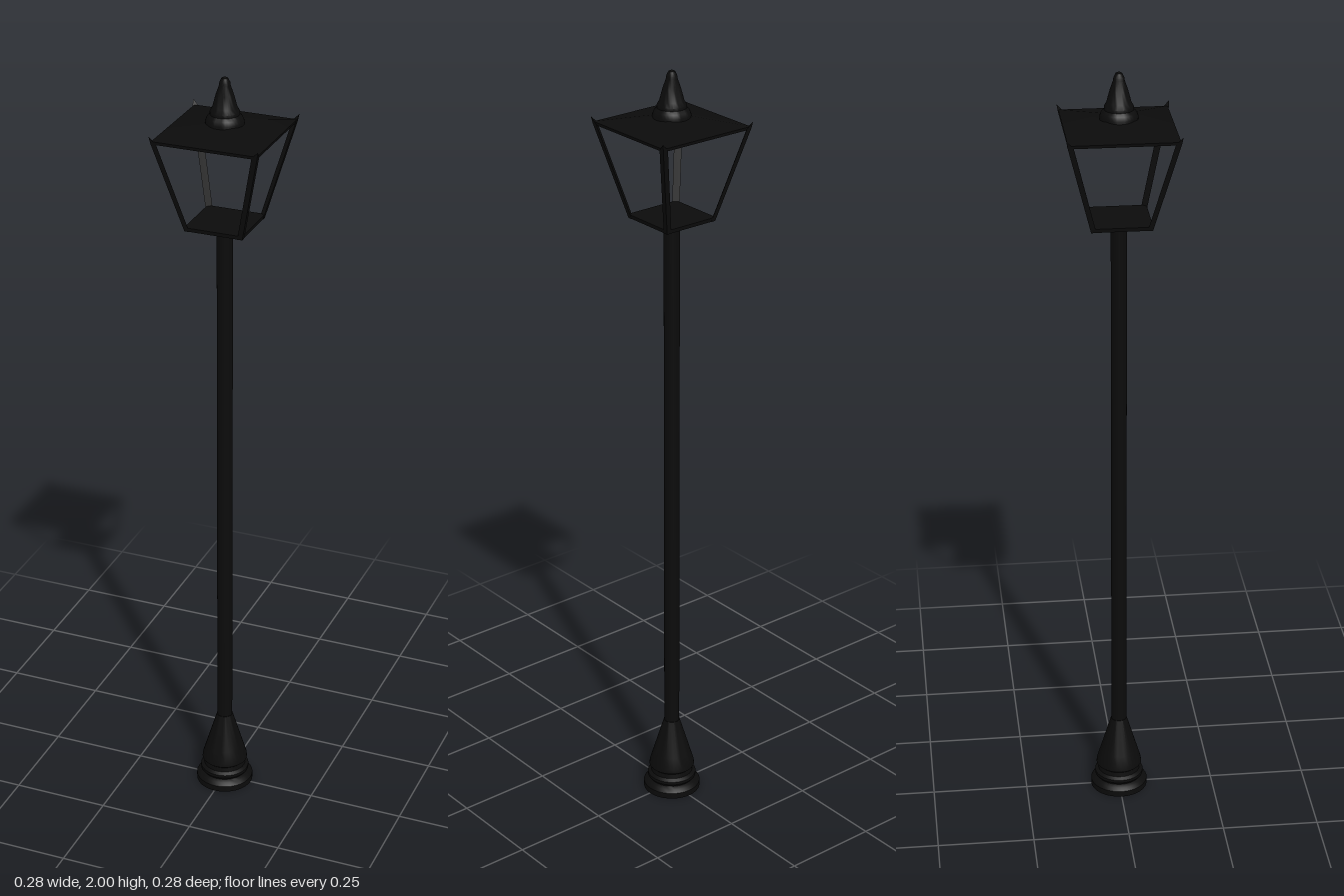
import * as THREE from 'three';
import { toCreasedNormals } from 'three/addons/utils/BufferGeometryUtils.js';

const iron = new THREE.MeshStandardMaterial({ color: 0x0b0b0b });

export function createModel() {
  const lamp = new THREE.Group();
  lamp.name = 'streetLamp';

  function add(name, geometry, y = 0) {
    const mesh = new THREE.Mesh(geometry, iron);
    mesh.name = name;
    mesh.position.y = y;
    lamp.add(mesh);
    return mesh;
  }

  // Turned part from [radius, height] pairs, bottom to top
  function turned(points) {
    const profile = points.map(([r, y]) => new THREE.Vector2(r, y));
    return toCreasedNormals(new THREE.LatheGeometry(profile, 32), 0.6);
  }

  // Square frustum with its sides facing the axes, standing on y = 0
  function frustum(topHalf, bottomHalf, height) {
    const g = new THREE.CylinderGeometry(topHalf * Math.SQRT2, bottomHalf * Math.SQRT2, height, 4);
    g.rotateY(Math.PI / 4);
    g.translate(0, height / 2, 0);
    return toCreasedNormals(g, 0.3);
  }

  // Moulded foot tapering into the pole
  add('base', turned([
    [0, 0], [0.075, 0], [0.075, 0.016], [0.068, 0.024], [0.058, 0.028],
    [0.064, 0.036], [0.064, 0.044], [0.055, 0.05], [0.053, 0.062],
    [0.06, 0.068], [0.059, 0.078], [0.05, 0.108], [0.021, 0.205], [0, 0.205],
  ]));

  add('pole', new THREE.CylinderGeometry(0.02, 0.02, 1.44, 24), 0.91);

  // Lantern floor and shallow roof
  add('lanternFloor', frustum(0.076, 0.074, 0.01), 1.622);
  add('roofRim', frustum(0.134, 0.132, 0.008), 1.857);
  add('roof', frustum(0.03, 0.134, 0.022), 1.865);

  // Slanted three-sided corner bars, ending in a spike above the roof
  const rings = [[0.075, 1.622, 0.013], [0.135, 1.86, 0.014], [0.138, 1.877, 0.001]];
  const positions = [];
  const index = [];
  for (const [c, y, w] of rings) {
    positions.push(c, y, c, c - w, y, c, c, y, c - w);
  }
  for (let level = 0; level < 2; level++) {
    for (let i = 0; i < 3; i++) {
      const a = level * 3 + i;
      const b = level * 3 + (i + 1) % 3;
      index.push(a, b + 3, b, a, a + 3, b + 3);
    }
  }
  index.push(0, 1, 2, 6, 8, 7);
  const bar = new THREE.BufferGeometry();
  bar.setAttribute('position', new THREE.Float32BufferAttribute(positions, 3));
  bar.setIndex(index);
  const barGeometry = toCreasedNormals(bar, 0.3);
  for (let i = 0; i < 4; i++) {
    add('cornerBar', barGeometry).rotation.y = i * Math.PI / 2;
  }

  // Stepped finial
  add('finial', turned([
    [0, 1.875], [0.047, 1.875], [0.047, 1.89], [0.043, 1.9], [0.036, 1.907],
    [0.036, 1.914], [0.03, 1.925], [0.022, 1.955], [0.014, 1.978],
    [0.013, 1.986], [0.008, 1.996], [0, 2],
  ]));

  return lamp;
}
